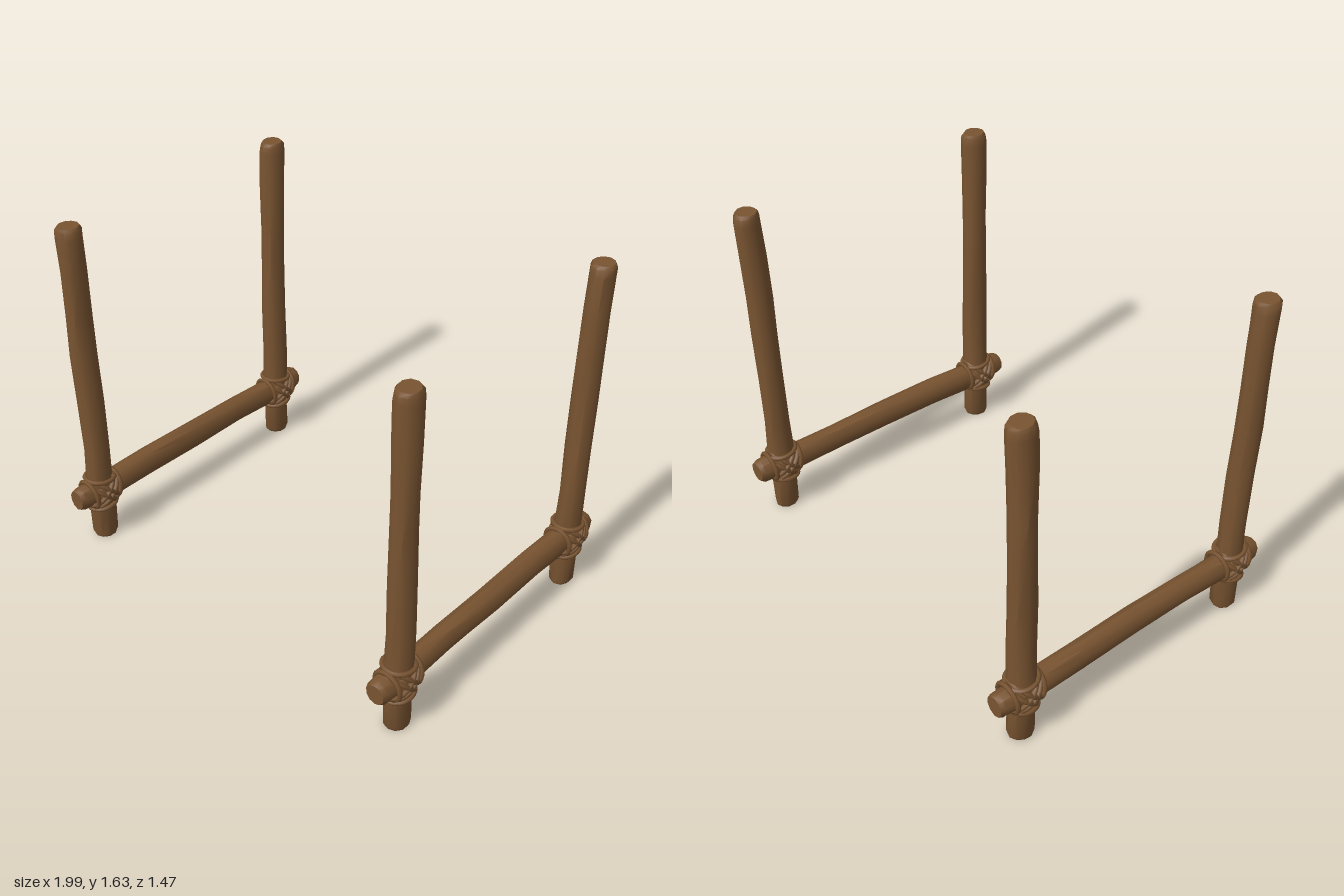
import * as THREE from 'three';
import { toCreasedNormals } from 'three/addons/utils/BufferGeometryUtils.js';

const SIDES = 10;
const JOINT_Y = 0.26;
const X = 0.912;

// A rough log along y from stations [y, radiusX, radiusZ, offsetX, offsetZ]
function logGeometry(stations, seed) {
  const n = stations.length - 1;
  const geo = new THREE.CylinderGeometry(1, 1, 1, SIDES, n);
  geo.deleteAttribute('uv');
  const p = geo.attributes.position;
  for (let i = 0; i < p.count; i++) {
    const row = Math.round((p.getY(i) + 0.5) * n);
    const [y, rx, rz, ox, oz] = stations[row];
    const x = p.getX(i), z = p.getZ(i);
    const a = Math.atan2(z, x);
    // gnarled bark: shallow bumps that drift along the log
    const k = 1 + 0.035 * Math.sin(2 * a + row * 1.3 + seed) + 0.025 * Math.sin(3 * a - row * 1.9 + seed * 2);
    p.setXYZ(i, ox + x * rx * k, y, oz + z * rz * k);
  }
  return toCreasedNormals(geo, 0.75);
}

// Stations for the upright posts; lean shifts the top outwards along z
function postStations(lean) {
  return [
    [0.005, 0.05, 0.055, 0, 0],
    [0.02, 0.056, 0.06, 0, 0],
    [0.16, 0.056, 0.062, 0, 0],
    [0.22, 0.06, 0.066, 0, 0],
    [0.34, 0.06, 0.064, 0, 0],
    [0.5, 0.058, 0.06, 0.004, 0],
    [0.75, 0.058, 0.06, 0.002, 0.1],
    [1.0, 0.056, 0.06, -0.002, 0.4],
    [1.2, 0.055, 0.059, -0.002, 0.5],
    [1.42, 0.056, 0.06, 0, 0.7],
    [1.58, 0.056, 0.06, 0, 1],
    [1.618, 0.054, 0.057, 0, 1],
    [1.632, 0.045, 0.048, 0, 1],
  ].map(([y, rx, rz, ox, oz]) => [y, rx, rz, ox, oz * lean]);
}

// Stations for the rail, laid along z after rotation
const railStations = [
  [-0.735, 0.046, 0.048, 0, 0],
  [-0.715, 0.054, 0.058, 0, 0],
  [-0.64, 0.058, 0.062, 0, 0],
  [-0.5, 0.056, 0.068, 0, 0.006],
  [-0.3, 0.054, 0.067, 0, 0],
  [0, 0.055, 0.068, 0.003, -0.003],
  [0.3, 0.055, 0.067, 0, -0.002],
  [0.5, 0.056, 0.068, 0, 0.006],
  [0.64, 0.058, 0.062, 0, 0],
  [0.715, 0.052, 0.058, 0, 0],
  [0.735, 0.044, 0.048, 0, 0],
];

// Closed oval rope loop spanned by two half-axis vectors
function ropeLoop(centre, u, v, thickness, material) {
  const points = [];
  for (let i = 0; i < 12; i++) {
    const a = (i / 12) * Math.PI * 2;
    points.push(centre.clone().addScaledVector(u, Math.cos(a)).addScaledVector(v, Math.sin(a)));
  }
  const curve = new THREE.CatmullRomCurve3(points, true);
  const mesh = new THREE.Mesh(new THREE.TubeGeometry(curve, 24, thickness, 6, true), material);
  mesh.name = 'ropeLoop';
  return mesh;
}

// Cross lashing around a post and rail joint
function lashing(material) {
  const group = new THREE.Group();
  group.name = 'lashing';
  const V = (x, y, z) => new THREE.Vector3(x, y, z);

  const knot = new THREE.Mesh(new THREE.SphereGeometry(1, 12, 8), material);
  knot.scale.set(0.07, 0.082, 0.078);
  knot.name = 'knotCore';
  group.add(knot);

  for (const s of [-1, 1]) {
    // diagonal turns forming the X
    for (const shift of [-0.01, 0.012]) {
      group.add(ropeLoop(V(0, shift, shift * -s), V(0.072, 0, 0), V(0, 0.066, 0.066 * s), 0.012, material));
    }
    // turns round the post and round the rail
    group.add(ropeLoop(V(0, s * 0.072, 0), V(0.066, 0, 0), V(0, 0.008 * s, 0.069), 0.011, material));
    group.add(ropeLoop(V(0, 0, s * 0.068), V(0.064, 0, 0), V(0, 0.072, 0.008 * s), 0.011, material));
  }
  return group;
}

export function createModel() {
  const wood = new THREE.MeshStandardMaterial({ color: 0x795431 });
  wood.name = 'brown wood';

  const model = new THREE.Group();
  model.name = 'lashedPoleFrames';

  for (const side of [-1, 1]) {
    const frame = new THREE.Group();
    frame.name = side > 0 ? 'leftFrame' : 'rightFrame';
    frame.position.x = side * X;

    for (const end of [1, -1]) {
      const z = end * 0.594;
      const post = new THREE.Mesh(logGeometry(postStations(end > 0 ? 0.006 : -0.02), side + end * 2), wood);
      post.name = end > 0 ? 'frontPost' : 'backPost';
      post.position.z = z;

      const wrap = lashing(wood);
      wrap.position.set(0, JOINT_Y, z);
      frame.add(post, wrap);
    }

    const rail = new THREE.Mesh(logGeometry(railStations, side * 1.7), wood);
    rail.name = 'rail';
    rail.rotation.x = Math.PI / 2;
    rail.position.set(-0.004, JOINT_Y + 0.003, 0);
    frame.add(rail);
    model.add(frame);
  }
  return model;
}
